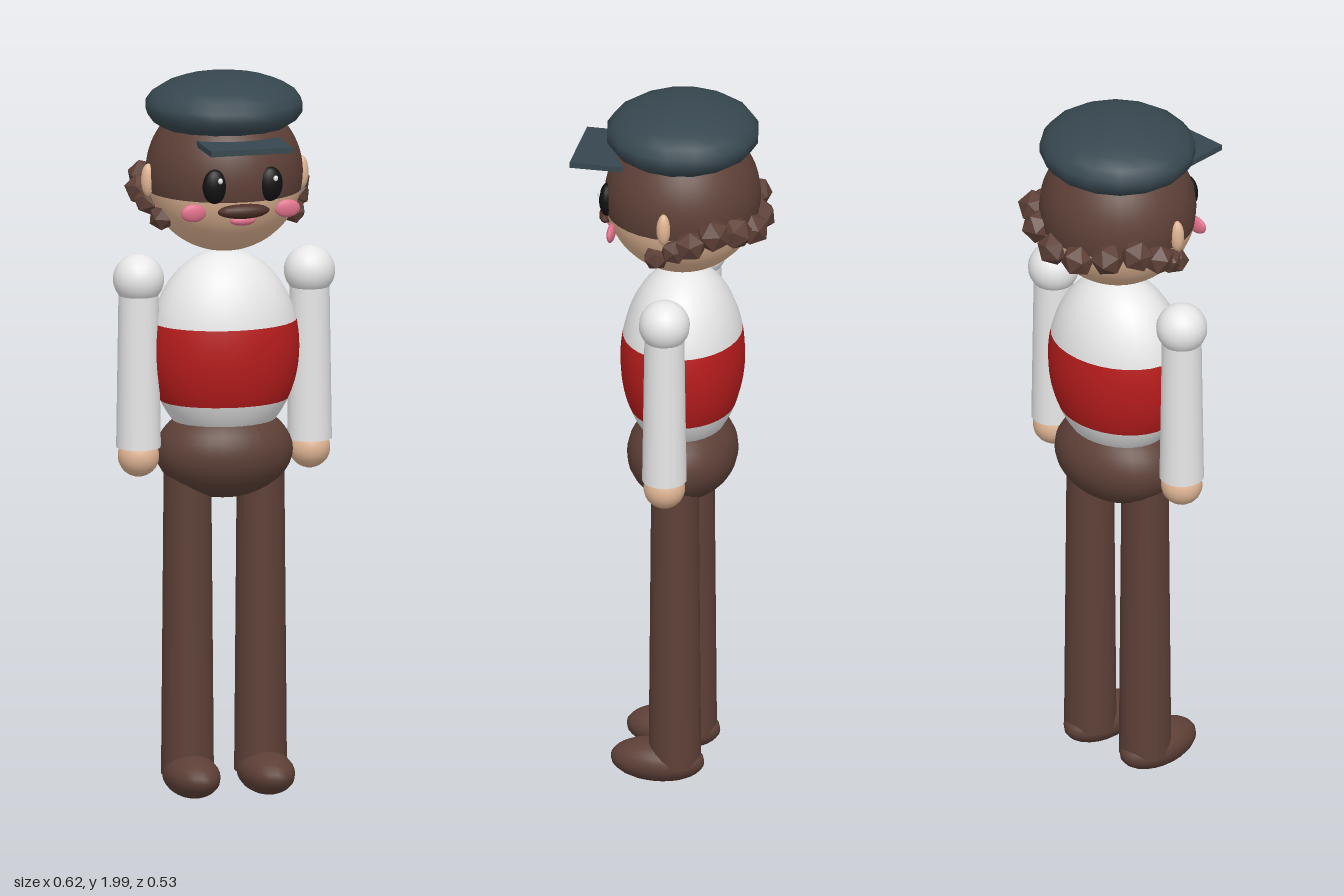
import * as THREE from 'three';

const mat = (name, color) => Object.assign(new THREE.MeshStandardMaterial({ color }), { name });

export function createModel() {
  const model = new THREE.Group();
  model.name = 'cappedFigure';

  const brown = mat('brown', 0x5d4037);
  const darkBrown = mat('dark brown', 0x4e2f27);
  const skin = mat('skin', 0xe0b594);
  const white = mat('shirt white', 0xeeeeee);
  const red = mat('waistcoat red', 0xb71c1c);
  const slate = mat('cap slate', 0x37474f);
  const black = mat('eye black', 0x111111);
  const pink = mat('cheek pink', 0xe0708a);
  const curlBrown = mat('curl brown', 0x5d4037);
  curlBrown.flatShading = true;

  const Z = -0.025; // depth of the body axis

  function add(name, geometry, material, x, y, z) {
    const mesh = new THREE.Mesh(geometry, material);
    mesh.name = name;
    mesh.position.set(x, y, z);
    model.add(mesh);
    return mesh;
  }
  // Ellipsoid, or a horizontal zone of one between two polar angles
  function ellipsoid(name, material, [x, y, z], [rx, ry, rz], seg = 24, from = 0, to = Math.PI) {
    const rows = Math.max(6, Math.round(seg * 0.7));
    const geo = new THREE.SphereGeometry(1, seg, rows, 0, Math.PI * 2, from, to - from);
    const mesh = add(name, geo, material, x, y, z);
    mesh.scale.set(rx, ry, rz);
    return mesh;
  }
  const polar = (y, centre, r) => Math.acos((y - centre) / r);

  // Head: hair above the hairline, skin below
  const hairline = polar(1.68, 1.725, 0.215);
  ellipsoid('scalp', brown, [0, 1.725, Z], [0.215, 0.215, 0.213], 32, 0, hairline);
  ellipsoid('face', skin, [0, 1.725, Z], [0.215, 0.215, 0.213], 32, hairline, Math.PI);

  // Cap and brim
  ellipsoid('cap', slate, [0, 1.91, Z], [0.218, 0.09, 0.211], 16);
  add('capBrim', new THREE.BoxGeometry(0.23, 0.016, 0.185), slate, 0, 1.835, 0.173);

  // Torso in three colour zones, then hips
  const torso = [0.208, 0.272, 0.168];
  const top = polar(1.315, 1.24, 0.272), bottom = polar(1.098, 1.24, 0.272);
  ellipsoid('shirtTop', white, [0, 1.24, Z], torso, 32, 0, top);
  ellipsoid('waistcoat', red, [0, 1.24, Z], torso, 32, top, bottom);
  ellipsoid('shirtHem', white, [0, 1.24, Z], torso, 32, bottom, Math.PI);
  ellipsoid('hips', brown, [0, 0.955, Z], [0.19, 0.13, 0.15], 28);

  // Moustache and mouth
  ellipsoid('moustache', darkBrown, [0, 1.655, 0.178], [0.073, 0.021, 0.025], 16);
  ellipsoid('mouth', pink, [0, 1.627, 0.168], [0.036, 0.014, 0.015], 16);

  // Curls for one side: x, y, z, radius
  const curls = [
    [0.045, 1.66, -0.228, 0.048], [0.13, 1.685, -0.2, 0.048], [0.192, 1.7, -0.15, 0.048],
    [0.218, 1.675, -0.092, 0.045], [0.21, 1.65, -0.045, 0.038], [0.185, 1.615, 0.01, 0.037],
  ];

  for (const s of [1, -1]) {
    const side = s > 0 ? 'left' : 'right';

    // Face details
    ellipsoid(side + 'Eye', black, [s * 0.078, 1.725, 0.168], [0.035, 0.048, 0.022], 16);
    ellipsoid(side + 'EyeGlint', white, [s * 0.078 + 0.01, 1.743, 0.188], [0.007, 0.008, 0.005], 10);
    ellipsoid(side + 'Cheek', pink, [s * 0.132, 1.65, 0.146], [0.036, 0.025, 0.011], 16);
    ellipsoid(side + 'Ear', skin, [s * 0.216, 1.715, Z + 0.008], [0.02, 0.046, 0.019], 14);

    // Arm
    ellipsoid(side + 'Shoulder', white, [s * 0.241, 1.44, Z], [0.07, 0.07, 0.07], 20);
    add(side + 'Arm', new THREE.CylinderGeometry(0.054, 0.061, 0.465, 20), white, s * 0.241, 1.2075, Z);
    ellipsoid(side + 'Hand', skin, [s * 0.241, 0.95, Z], [0.057, 0.057, 0.057], 18);

    // Leg and shoe
    add(side + 'Leg', new THREE.CylinderGeometry(0.065, 0.072, 0.83, 20), brown, s * 0.103, 0.477, Z);
    ellipsoid(side + 'Shoe', brown, [s * 0.105, 0.065, 0.023], [0.075, 0.059, 0.13], 20);

    // Curls around the back of the head
    curls.forEach(([x, y, z, r], i) => {
      const curl = add(side + 'Curl' + (i + 1), new THREE.IcosahedronGeometry(r), curlBrown, s * x, y, z);
      curl.rotation.set(i * 0.7, s * i * 0.9, s * 0.3);
    });
  }
  return model;
}
